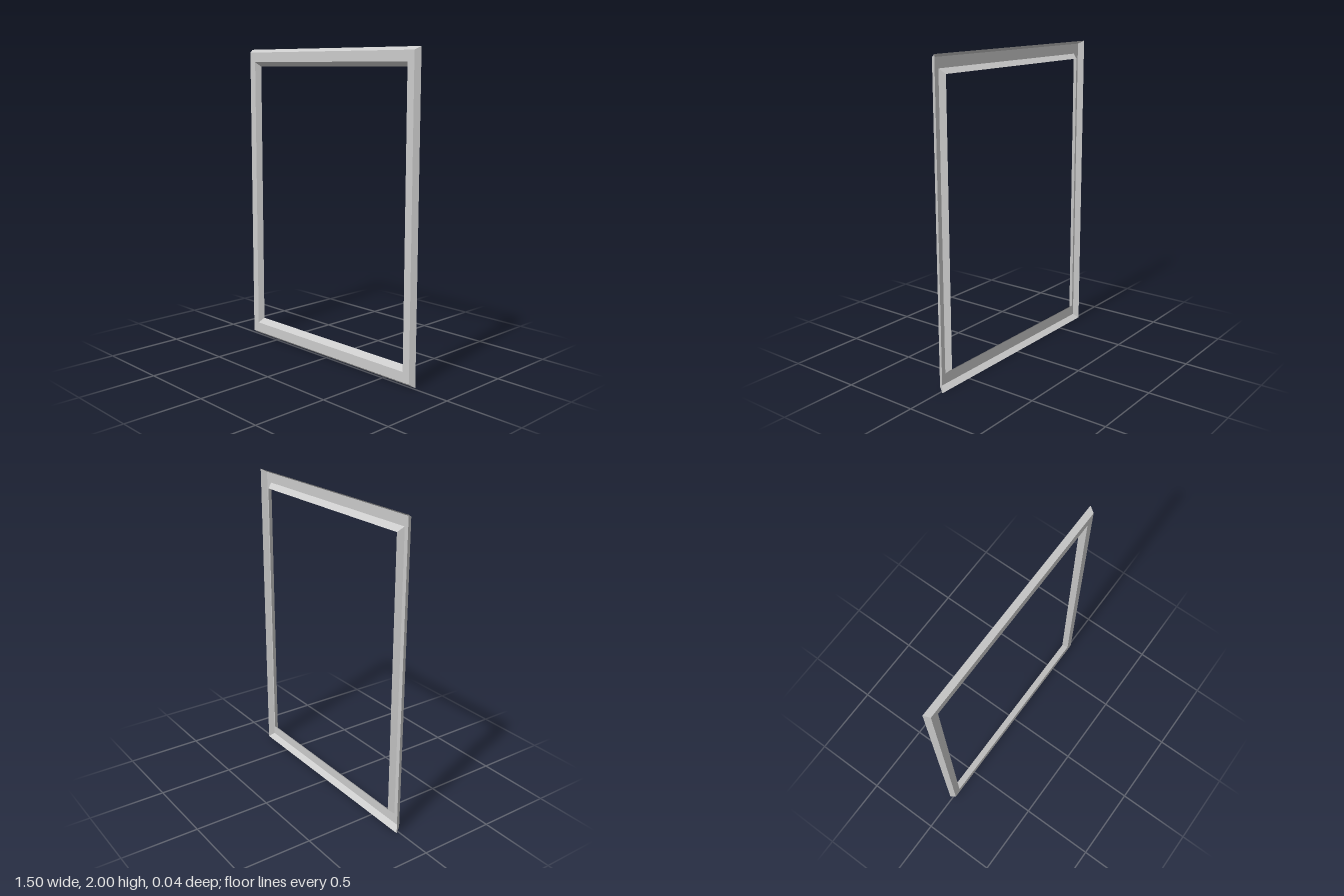
import * as THREE from 'three';

// Rectangular outlines of the moulding, from the outer back edge to the inner back edge
const OUTER_BACK = { x: 0.748, y0: 0, y1: 2, z: -0.018 };
const OUTER_FRONT = { x: 0.728, y0: 0.025, y1: 1.98, z: 0.018 };
const INNER_FRONT = { x: 0.678, y0: 0.091, y1: 1.916, z: 0.018 };
const INNER_BACK = { x: 0.657, y0: 0.122, y1: 1.886, z: -0.018 };

// Corners run anticlockwise as seen from the front
const corners = ({ x, y0, y1, z }) => [[-x, y0, z], [x, y0, z], [x, y1, z], [-x, y1, z]];

// Mitred band of four flat faces joining two outlines
function band(name, outer, inner, material) {
  const a = corners(outer), b = corners(inner), points = [];
  for (let i = 0; i < 4; i++) {
    const j = (i + 1) % 4;
    points.push(...a[i], ...a[j], ...b[j], ...a[i], ...b[j], ...b[i]);
  }
  const geometry = new THREE.BufferGeometry();
  geometry.setAttribute('position', new THREE.Float32BufferAttribute(points, 3));
  geometry.computeVertexNormals();
  const mesh = new THREE.Mesh(geometry, material);
  mesh.name = name;
  return mesh;
}

export function createModel() {
  const model = new THREE.Group();
  model.name = 'frame';
  // The moulding is a thin shell, open at the back
  const material = new THREE.MeshStandardMaterial({
    color: 0xcccccc, flatShading: true, side: THREE.DoubleSide,
  });
  model.add(
    band('outerBevel', OUTER_BACK, OUTER_FRONT, material),
    band('frontFace', OUTER_FRONT, INNER_FRONT, material),
    band('innerBevel', INNER_FRONT, INNER_BACK, material),
  );
  return model;
}
